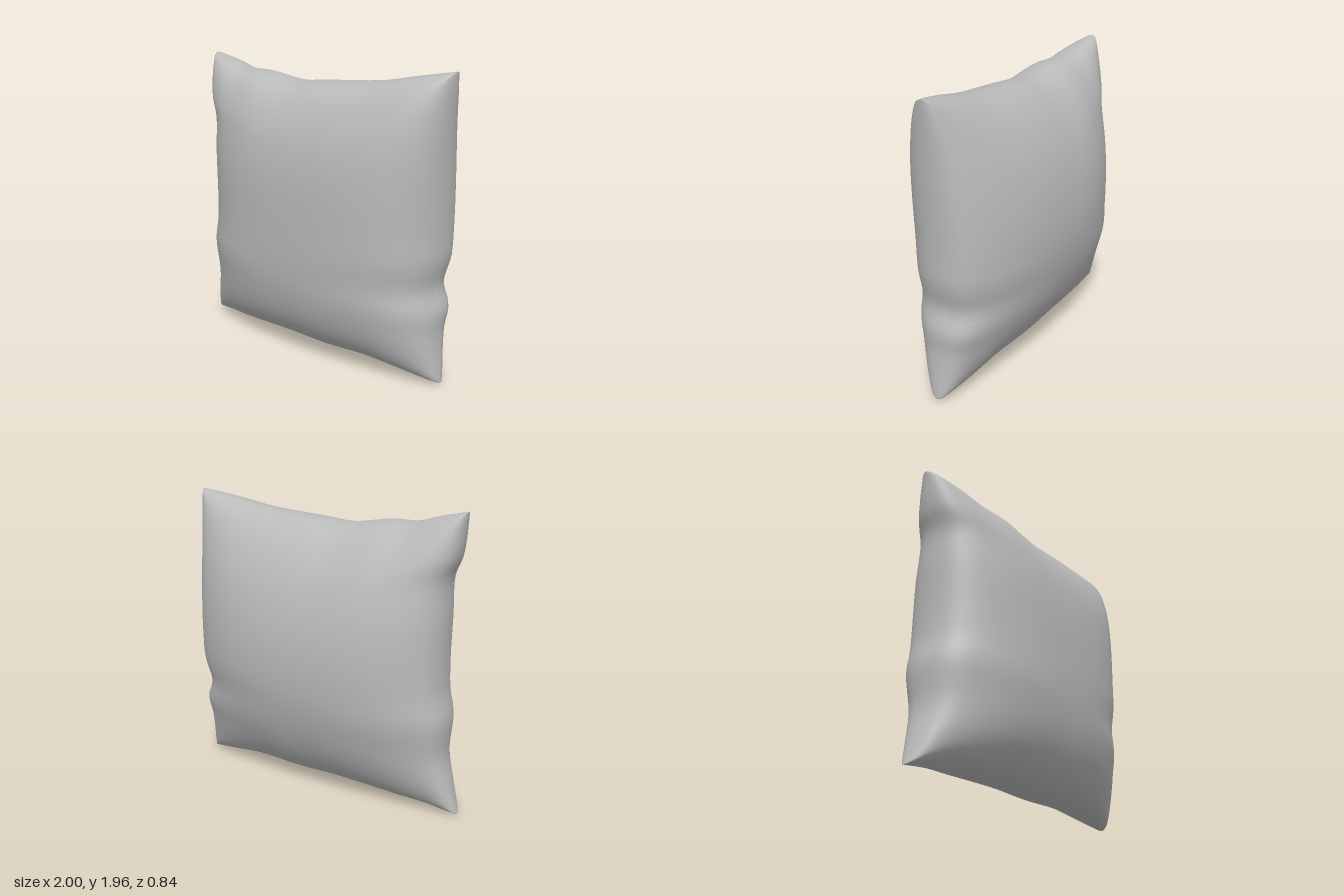
import * as THREE from 'three';

const curve = (pts) => new THREE.CatmullRomCurve3(pts.map((p) => new THREE.Vector3(...p)));

// Corners of the seam
const BL = [-1, 0.005, 0], BR = [0.975, 0.015, 0.01], TL = [-0.97, 1.955, 0], TR = [0.995, 1.96, 0];

// Wavy seam along each side of the cushion
const top = curve([TL, [-0.77, 1.91, 0.005], [-0.63, 1.87, 0.015], [-0.45, 1.865, 0.025], [-0.16, 1.825, 0.02],
  [0.05, 1.84, 0.02], [0.5, 1.875, 0.025], [0.75, 1.92, 0.02], TR]);
const bottom = curve([BL, [-0.8, 0.035, 0], [-0.6, 0.045, 0], [-0.15, 0.065, 0],
  [0.17, 0.06, 0], [0.5, 0.07, 0], [0.75, 0.045, 0], BR]);
const left = curve([BL, [-0.95, 0.17, 0], [-0.9, 0.38, 0], [-0.91, 0.65, 0], [-0.88, 0.8, 0], [-0.87, 1, 0],
  [-0.875, 1.3, 0], [-0.88, 1.55, 0], [-0.93, 1.68, 0], TL]);
const right = curve([BR, [0.94, 0.33, -0.005], [0.945, 0.48, -0.03], [0.9, 0.62, -0.02], [0.935, 0.8, -0.04],
  [0.94, 1, -0.045], [0.95, 1.3, -0.03], [0.965, 1.6, -0.01], TR]);

// Flat position inside the seam: blend of the four side curves
function blend(s, t) {
  const p = new THREE.Vector3();
  const add = (v, w) => p.addScaledVector(v, w);
  add(bottom.getPointAt(s), 1 - t);
  add(top.getPointAt(s), t);
  add(left.getPointAt(t), 1 - s);
  add(right.getPointAt(t), s);
  add(new THREE.Vector3(...BL), -(1 - s) * (1 - t));
  add(new THREE.Vector3(...BR), -s * (1 - t));
  add(new THREE.Vector3(...TL), -(1 - s) * t);
  add(new THREE.Vector3(...TR), -s * t);
  return p;
}

const dome = (x, power, root) => Math.max(0, 1 - Math.abs(x) ** power) ** root;

// One puffed half; side is 1 for the front and -1 for the back
function cushionHalf(side, power, root) {
  const geo = new THREE.PlaneGeometry(2, 2, 56, 56);
  const pos = geo.attributes.position;
  for (let i = 0; i < pos.count; i++) {
    // Crowd the rows towards the seam so it rounds over smoothly
    const u = Math.sin(pos.getX(i) * Math.PI / 2);
    const v = Math.sin(pos.getY(i) * Math.PI / 2);
    const m = Math.max(Math.abs(u), Math.abs(v));
    const p = blend((u + 1) / 2, (v + 1) / 2);
    const puff = 0.375 * dome(u, 2.5, 0.5) * dome(v, power, root) + 0.045 * dome(m, 40, 0.5);
    pos.setXYZ(i, p.x, p.y, p.z * m ** 8 + side * puff);
  }
  if (side < 0) {
    const index = geo.index;
    for (let i = 0; i < index.count; i += 3) {
      const a = index.getX(i);
      index.setX(i, index.getX(i + 1));
      index.setX(i + 1, a);
    }
  }
  geo.computeVertexNormals();
  return geo;
}

export function createModel() {
  const group = new THREE.Group();
  group.name = 'cushion';
  const fabric = new THREE.MeshStandardMaterial({ color: 0xbababa });
  fabric.name = 'grey fabric';

  const front = new THREE.Mesh(cushionHalf(1, 3, 0.5), fabric);
  front.name = 'frontCover';
  const back = new THREE.Mesh(cushionHalf(-1, 2, 0.7), fabric);
  back.name = 'backCover';
  group.add(front, back);
  return group;
}
